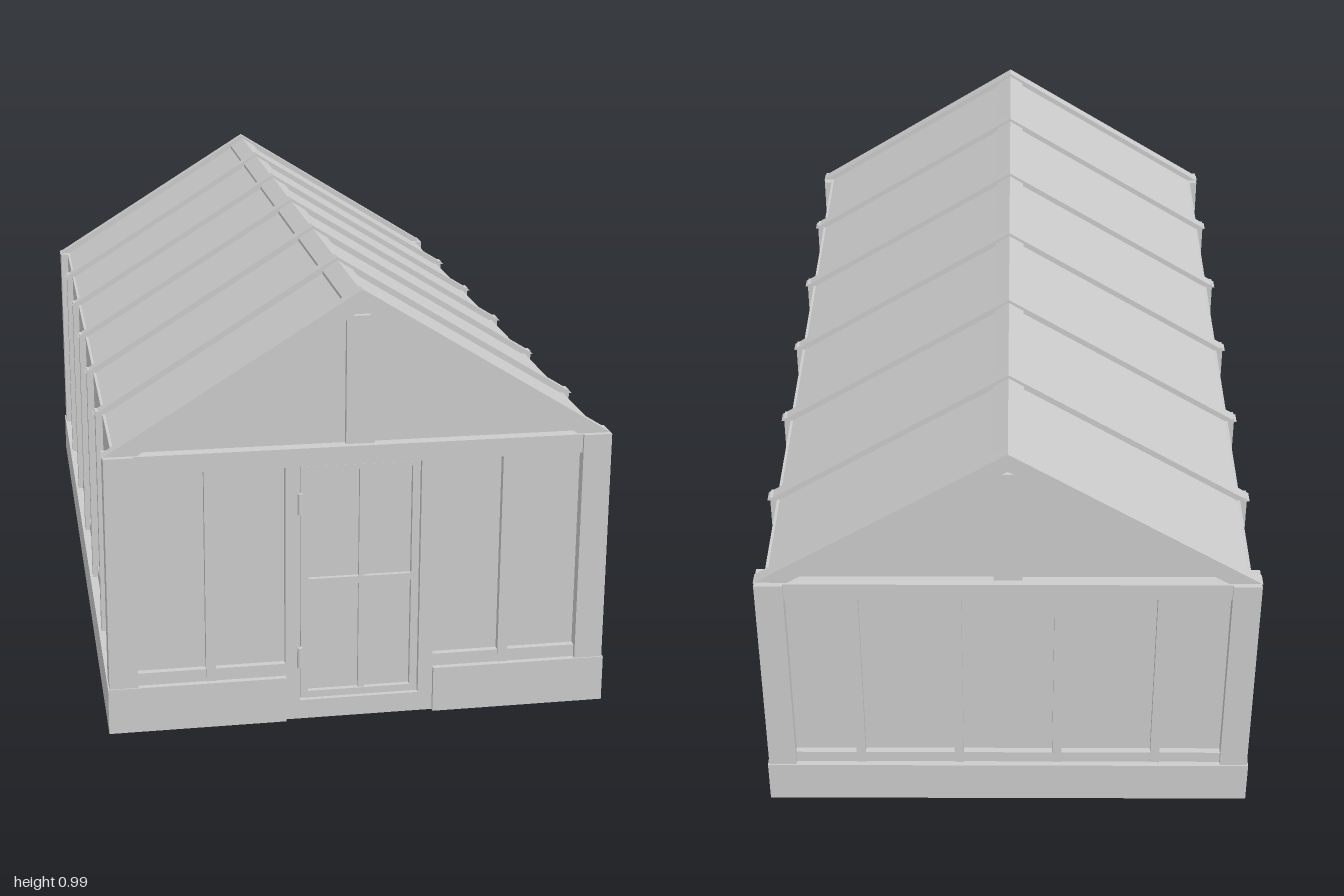
import * as THREE from 'three';

const SLOPE = 0.62;   // roof rise per unit of width
const EAVE = 0.642;   // height of the wall plate
const mat = new THREE.MeshStandardMaterial({ color: 0xcccccc, flatShading: true });

export function createModel() {
  const root = new THREE.Group();
  root.name = 'greenhouse';

  const group = (name) => {
    const g = new THREE.Group();
    g.name = name;
    root.add(g);
    return g;
  };
  // Box given by its low and high limits on each axis
  const box = (parent, name, [x0, x1], [y0, y1], [z0, z1]) => {
    const m = new THREE.Mesh(new THREE.BoxGeometry(x1 - x0, y1 - y0, z1 - z0), mat);
    m.position.set((x0 + x1) / 2, (y0 + y1) / 2, (z0 + z1) / 2);
    m.name = name;
    parent.add(m);
    return m;
  };
  // Outline in x-y, extruded from z0 to z1
  const prism = (parent, name, pts, z0, z1, holes = []) => {
    const toVec = (l) => l.map(([x, y]) => new THREE.Vector2(x, y));
    const s = new THREE.Shape(toVec(pts));
    holes.forEach((h) => s.holes.push(new THREE.Path(toVec(h))));
    const m = new THREE.Mesh(new THREE.ExtrudeGeometry(s, { depth: z1 - z0, bevelEnabled: false }), mat);
    m.position.z = z0;
    m.name = name;
    parent.add(m);
    return m;
  };
  const rect = (x0, x1, y0, y1) => [[x0, y0], [x1, y0], [x1, y1], [x0, y1]];
  // Inverted V following the roof pitch, cut level at the eaves
  const chevron = (apex, thick, foot) => {
    const w = (apex - foot) / SLOPE, wi = w - thick / SLOPE;
    return [[-w, foot], [-wi, foot], [0, apex - thick], [wi, foot], [w, foot], [0, apex]];
  };

  // Plinth ring with a gap for the door
  const base = group('base');
  for (const s of [-1, 1]) {
    const cx = s * 0.53;
    box(base, 'sidePlinth', [cx - 0.035, cx + 0.035], [0, 0.106], [-1, 1]);
    const a = s * 0.168, b = s * 0.495;
    box(base, 'frontPlinth', [Math.min(a, b), Math.max(a, b)], [0, 0.106], [0.93, 1]);
  }
  box(base, 'backPlinth', [-0.495, 0.495], [0, 0.106], [-1, -0.93]);

  // Corner posts
  const frame = group('frame');
  for (const x of [-0.53, 0.53]) {
    for (const z of [-0.966, 0.966]) {
      box(frame, 'cornerPost', [x - 0.032, x + 0.032], [0.106, EAVE], [z - 0.031, z + 0.031]);
    }
  }

  // Long walls: glass, rails and posts
  const bays = [-0.66, -0.33, 0, 0.33, 0.665];
  for (const s of [-1, 1]) {
    const wall = group(s > 0 ? 'leftWall' : 'rightWall');
    const span = (a, b) => (s > 0 ? [a, b] : [-b, -a]);
    box(wall, 'sideGlass', span(0.536, 0.542), [0.106, EAVE], [-0.94, 0.94]);
    box(wall, 'bottomRail', span(0.515, 0.546), [0.106, 0.135], [-0.94, 0.94]);
    box(wall, 'eaveBeam', span(0.49, 0.54), [0.6, EAVE], [-0.94, 0.94]);
    for (const z of bays) box(wall, 'sidePost', span(0.525, 0.558), [0.106, 0.648], [z - 0.015, z + 0.015]);
  }

  // End walls: top beam, bottom rail, glass, mullions and gable
  for (const s of [-1, 1]) {
    const front = s > 0;
    const wall = group(front ? 'frontWall' : 'backWall');
    const zs = (a, b) => (front ? [a, b] : [-b, -a]);
    box(wall, 'topBeam', [-0.5, 0.5], [0.6, EAVE], zs(0.945, 0.99));
    const sections = front ? [[-0.5, -0.168], [0.168, 0.5]] : [[-0.5, 0.5]];
    for (const sec of sections) {
      box(wall, 'bottomRail', sec, [0.106, 0.135], zs(0.95, 0.986));
      box(wall, 'endGlass', sec, [0.135, 0.6], zs(0.965, 0.971));
    }
    const mullions = front ? [-0.335, 0.33] : [-0.345, -0.115, 0.115, 0.345];
    for (const x of mullions) box(wall, 'mullion', [x - 0.011, x + 0.011], [0.106, 0.6], zs(0.953, 0.988));

    const [g0, g1] = zs(0.955, 0.961);
    prism(wall, 'gableGlass', [[-0.49, EAVE], [0.49, EAVE], [0, 0.946]], g0, g1);
    box(wall, 'kingPost', [-0.032, 0.032], [EAVE, 0.93], zs(0.935, 0.975));
  }

  // Roof: glass skin, ridge beam and rafters
  const roof = group('roof');
  prism(roof, 'roofGlass', chevron(0.974, 0.008, 0.64), -0.955, 0.955);
  prism(roof, 'ridgeBeam', [[-0.035, 0.925], [0.035, 0.925], [0.035, 0.96], [0, 0.982], [-0.035, 0.96]], -0.955, 0.955);
  for (const z of [-0.968, ...bays, 0.968]) {
    prism(roof, 'rafter', chevron(0.99, 0.045, EAVE - 0.002), z - 0.016, z + 0.016);
  }

  // Door frame with mitred sill
  const door = group('door');
  const sill = [[-0.168, 0], [0.168, 0], [0.135, 0.045], [-0.135, 0.045]];
  prism(door, 'sill', sill, 0.935, 0.99);
  for (const s of [-1, 1]) {
    const jamb = [[s * 0.168, 0], [s * 0.168, 0.6], [s * 0.135, 0.6], [s * 0.135, 0.045]];
    prism(door, 'jamb', jamb, 0.935, 0.99);
  }

  // Door leaf: frame, four panes' bars, glass and hinges
  prism(door, 'doorFrame', rect(-0.133, 0.133, 0.048, 0.598), 0.96, 0.985, [rect(-0.116, 0.116, 0.064, 0.588)]);
  box(door, 'doorGlass', [-0.116, 0.116], [0.064, 0.588], [0.968, 0.973]);
  box(door, 'doorUprightBar', [-0.002, 0.012], [0.064, 0.588], [0.962, 0.982]);
  box(door, 'doorCrossBar', [-0.116, 0.116], [0.318, 0.334], [0.961, 0.983]);
  for (const y of [0.15, 0.515]) {
    const hinge = new THREE.Mesh(new THREE.CylinderGeometry(0.006, 0.006, 0.048, 10), mat);
    hinge.position.set(-0.136, y, 0.991);
    hinge.name = 'hinge';
    door.add(hinge);
  }

  return root;
}
